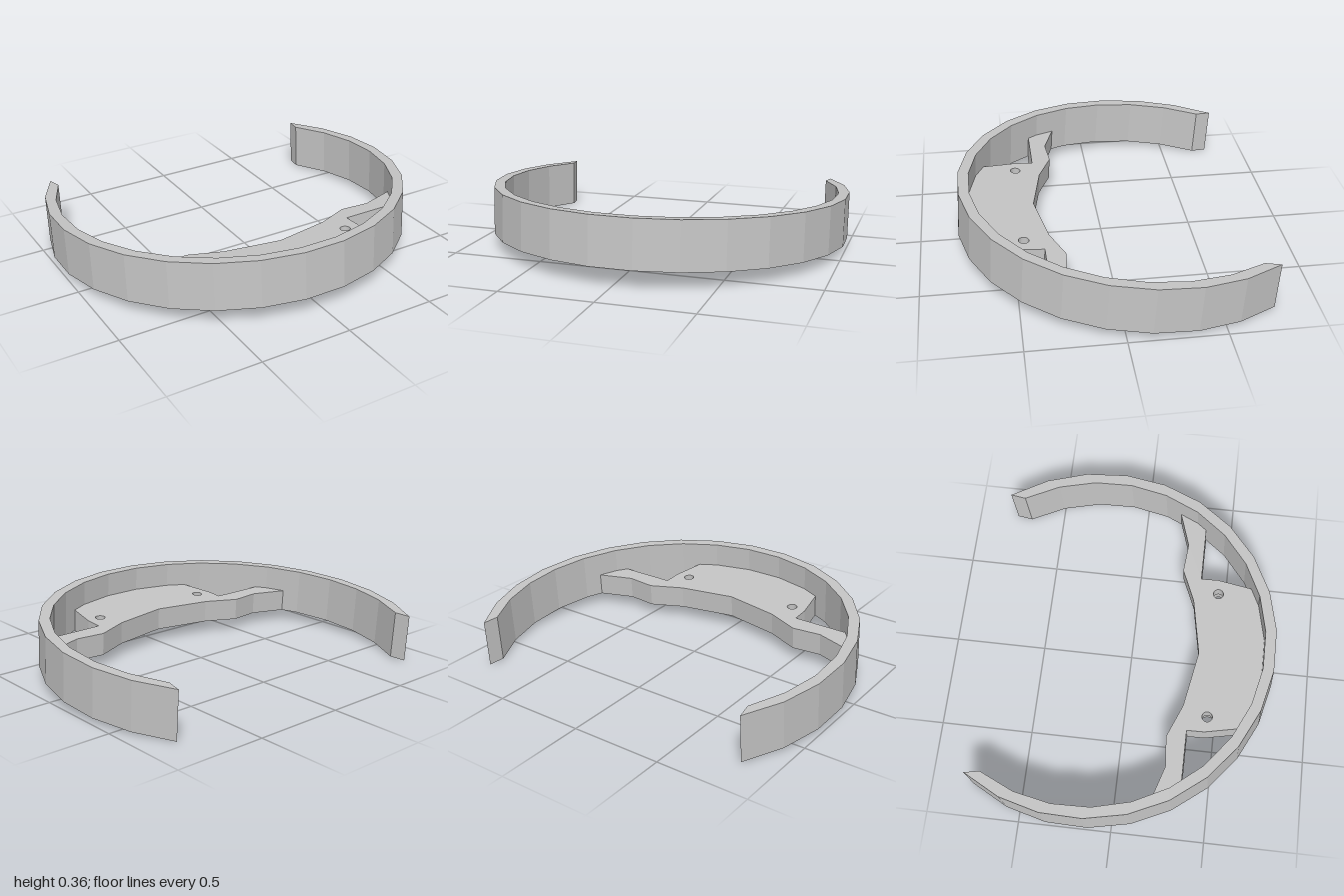
import * as THREE from 'three';

const CENTER_Z = -0.203; // centre of the ring
const HEIGHT = 0.26;
const PLATE = 0.125;
const BORE = 0.06; // depth of the counterbores under the plate

// Point on a circle about the ring centre, angle measured from the front
function polar(radius, degrees) {
  const a = THREE.MathUtils.degToRad(degrees);
  return new THREE.Vector2(radius * Math.sin(a), CENTER_Z + radius * Math.cos(a));
}

function arc(radius, halfAngle, segments) {
  return Array.from({ length: segments + 1 }, (_, i) =>
    polar(radius, -halfAngle + (2 * halfAngle * i) / segments));
}

// Upright slab from a plan drawn in x and z
function slab(name, shape, bottom, top, material) {
  const geometry = new THREE.ExtrudeGeometry(shape, {
    depth: top - bottom, bevelEnabled: false, curveSegments: 16,
  });
  geometry.rotateX(Math.PI / 2);
  geometry.translate(0, top, 0);
  const mesh = new THREE.Mesh(geometry, material);
  mesh.name = name;
  return mesh;
}

// Symmetrical plate outline with pairs of round holes
function plateShape(holes) {
  const half = [
    [0.31, 0.323], [0.49, 0.248], [0.65, 0.263], [0.84, 0.203], [0.873, 0.193],
    [0.79, 0.355], [0.445, 0.355], [0.445, 0.45], [0.41, 0.63], [0.4, 0.66],
  ].map(([x, z]) => new THREE.Vector2(x, z));
  half.push(polar(0.965, 13));
  const mirrored = half.map((p) => new THREE.Vector2(-p.x, p.y)).reverse();
  const shape = new THREE.Shape([
    new THREE.Vector2(0, 0.38), ...half, polar(0.965, 0), ...mirrored,
  ]);
  for (const [x, z, r] of holes) {
    for (const side of [-1, 1]) {
      const hole = new THREE.Path();
      hole.absarc(side * x, z, r, 0, Math.PI * 2, true);
      shape.holes.push(hole);
    }
  }
  return shape;
}

export function createModel() {
  const model = new THREE.Group();
  model.name = 'openRingBracket';
  const grey = new THREE.MeshStandardMaterial({ color: 0xc4c4c4 });
  grey.name = 'light grey';

  // Faceted open band with slanted ends
  const bandShape = new THREE.Shape([
    ...arc(1, 125, 19), ...arc(0.941, 121.3, 19).reverse(),
  ]);
  model.add(slab('band', bandShape, 0, HEIGHT, grey));

  // Mounting plate: wide bores and blind pin holes below, narrow screw holes above
  const lower = plateShape([[0.36, 0.458, 0.036], [0.505, 0.31, 0.015]]);
  const upper = plateShape([[0.36, 0.458, 0.028]]);
  model.add(slab('plateLower', lower, 0, BORE, grey));
  model.add(slab('plateUpper', upper, BORE, PLATE, grey));

  // The whole part leans with its front raised
  model.rotation.x = -0.0636;
  model.position.y = 0.054;
  return model;
}
